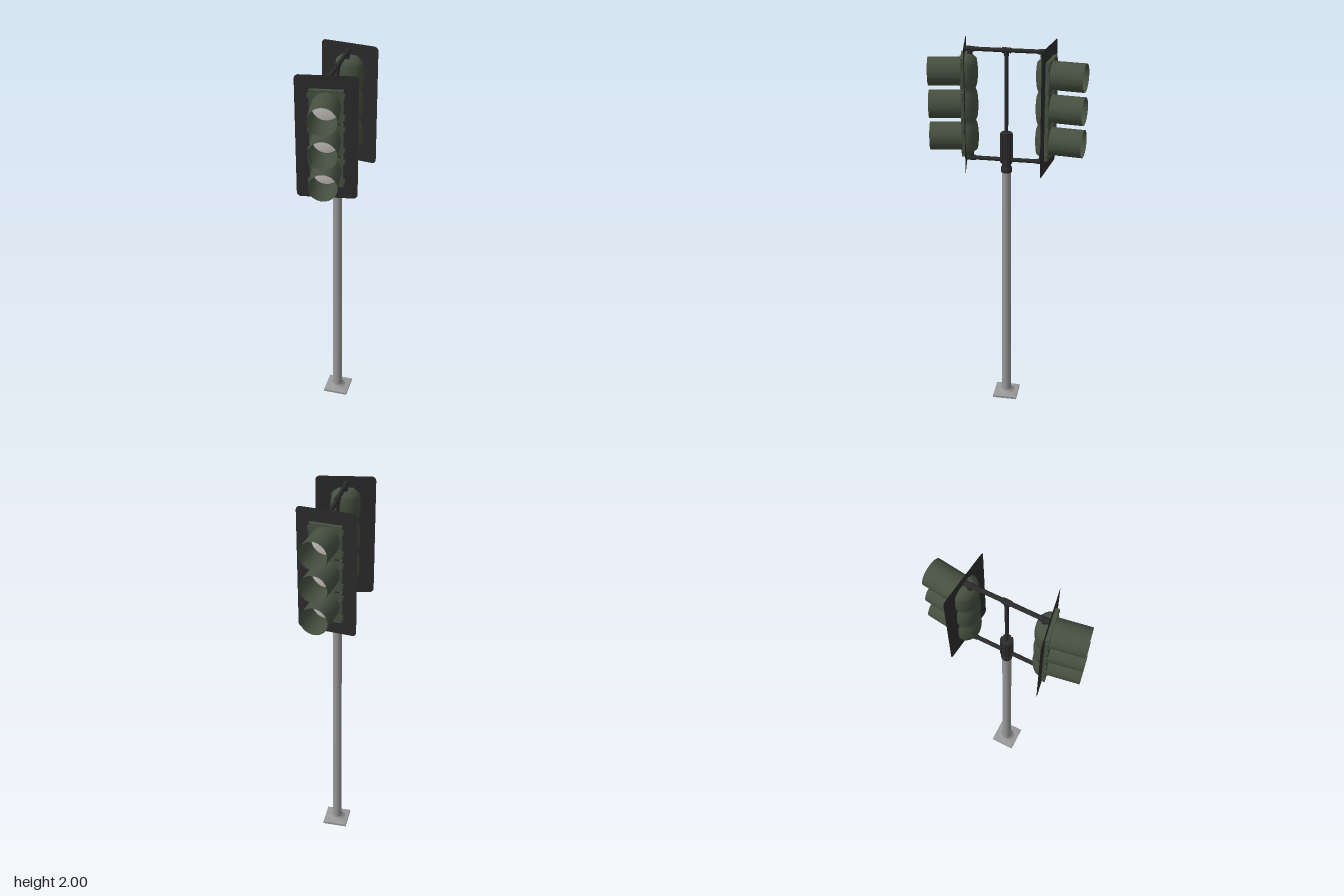
import * as THREE from 'three';
import { toCreasedNormals } from 'three/addons/utils/BufferGeometryUtils.js';

const material = (name, color, side = THREE.FrontSide) => {
  const m = new THREE.MeshStandardMaterial({ color, side });
  m.name = name;
  return m;
};

export function createModel() {
  const olive = material('olive housing', 0x465040, THREE.DoubleSide);
  const black = material('black metal', 0x2b2b2c, THREE.DoubleSide);
  const grey = material('grey steel', 0x989898, THREE.DoubleSide);
  const glass = material('pale lens', 0xcbc6c4);

  const model = new THREE.Group();
  model.name = 'trafficSignal';

  const add = (parent, name, geometry, mat, x = 0, y = 0, z = 0) => {
    const mesh = new THREE.Mesh(geometry, mat);
    mesh.name = name;
    mesh.position.set(x, y, z);
    parent.add(mesh);
    return mesh;
  };
  const lathe = (points, segments, ...arc) =>
    new THREE.LatheGeometry(points.map(([r, y]) => new THREE.Vector2(r, y)), segments, ...arc);
  const rod = (r, length, segments = 12) => new THREE.CylinderGeometry(r, r, length, segments);

  const px = -0.004; // pole axis
  const spacing = 0.165;
  const midY = 1.69;

  // Square foot plate, hollow below, with a slightly sloping top
  const foot = toCreasedNormals(
    lathe([[0.0925, 0], [0.0925, 0.012], [0.036, 0.018]], 4, Math.PI / 4), 0.1);
  add(model, 'footPlate', foot, grey, px + 0.002);

  // Pole with a flared bottom
  add(model, 'pole', lathe([[0.045, 0.016], [0.034, 0.024], [0.026, 0.034], [0.0225, 1.36]], 16), grey, px);

  // Clamp on the pole top
  const clamp = toCreasedNormals(lathe([
    [0.022, 1.345], [0.028, 1.345], [0.028, 1.37], [0.024, 1.372], [0.024, 1.388],
    [0.027, 1.39], [0.027, 1.553], [0.008, 1.556],
  ], 12), 0.6);
  add(model, 'poleClamp', clamp, black, px);
  for (let i = 0; i < 4; i++) {
    const rib = add(model, 'clampRib', new THREE.BoxGeometry(0.062, 0.15, 0.014), black, px, 1.472);
    rib.rotation.y = (i * Math.PI) / 4;
  }

  // Upright rod and the two cross arms with their fittings
  add(model, 'uprightRod', rod(0.009, 0.42), black, px, 1.76);
  for (const y of [1.41, 1.965]) {
    const inward = y > midY ? -1 : 1;
    add(model, 'crossArm', rod(0.0105, 0.39), black, px, y).rotation.x = Math.PI / 2;
    add(model, 'teeFitting', rod(0.014, 0.042), black, px, y).rotation.x = Math.PI / 2;
    add(model, 'teeSocket', rod(0.013, 0.03), black, px, y + inward * 0.012);
    for (const s of [-1, 1]) {
      add(model, 'armFitting', rod(0.0135, 0.045), black, px, y, s * 0.178).rotation.x = Math.PI / 2;
      add(model, 'armSocket', rod(0.0135, 0.036), black, px, y + inward * 0.014, s * 0.178);
    }
  }

  // Backplate outline: rounded rectangle
  const w = 0.1465, h = 0.3125, r = 0.022;
  const outline = new THREE.Shape();
  outline.moveTo(-w + r, -h);
  outline.absarc(w - r, -h + r, r, -Math.PI / 2, 0);
  outline.absarc(w - r, h - r, r, 0, Math.PI / 2);
  outline.absarc(-w + r, h - r, r, Math.PI / 2, Math.PI);
  outline.absarc(-w + r, -h + r, r, Math.PI, Math.PI * 1.5);

  // Rear shell profile: three bulges
  const shellPoints = [[0.0001, -0.252], [0.036, -0.252], [0.048, -0.243]];
  for (let i = 1; i < 24; i++) {
    const y = (i / 24 - 0.5) * spacing * 3;
    const bulge = Math.abs(Math.cos((Math.PI * y) / spacing));
    shellPoints.push([0.058 + 0.015 * Math.sqrt(bulge), y]);
  }
  shellPoints.push([0.048, 0.243], [0.036, 0.252], [0.0001, 0.252]);

  // One signal head, facing its own +z
  const makeHead = (name, z, angle) => {
    const head = new THREE.Group();
    head.name = name;
    head.position.set(0, midY, z);
    head.rotation.y = angle;
    model.add(head);

    add(head, 'backplate', new THREE.ShapeGeometry(outline, 6), black, 0, -0.0025);
    const shell = add(head, 'rearShell', lathe(shellPoints, 14, Math.PI / 2, Math.PI), olive);
    shell.scale.z = 0.86;

    for (let i = -1; i <= 1; i++) {
      const y = i * spacing;
      // Door with hinges and latches
      add(head, 'door', new THREE.BoxGeometry(0.158, spacing - 0.005, 0.018), olive, 0, y, 0.01);
      for (const side of [-1, 1]) {
        for (const dy of [-0.052, 0.052]) {
          add(head, 'hinge', rod(0.006, 0.022, 8), olive, side * 0.082, y + dy, 0.015);
        }
      }
      // Raised ring, lens and tunnel visor
      const ring = add(head, 'visorRing', new THREE.CylinderGeometry(0.073, 0.073, 0.008, 28, 1, true), olive, 0, y, 0.021);
      ring.rotation.x = Math.PI / 2;
      const lens = add(head, 'lens', lathe([[0.066, 0], [0.05, 0.004], [0.026, 0.007], [0.0001, 0.008]], 28), glass, 0, y, 0.02);
      lens.rotation.x = Math.PI / 2;
      const visor = add(head, 'visor', new THREE.CylinderGeometry(0.069, 0.069, 0.16, 28, 1, true), olive, 0, y, 0.099);
      visor.rotation.x = Math.PI / 2;
    }
    // Small black latches in the gaps between doors
    for (const y of [-spacing / 2, spacing / 2]) {
      for (const x of [-0.055, 0.055]) {
        add(head, 'doorLatch', new THREE.BoxGeometry(0.024, 0.006, 0.006), black, x, y, 0.018);
      }
    }
  };

  makeHead('frontHead', 0.2025, 0.168);
  makeHead('backHead', -0.208, Math.PI - 0.125);
  return model;
}
